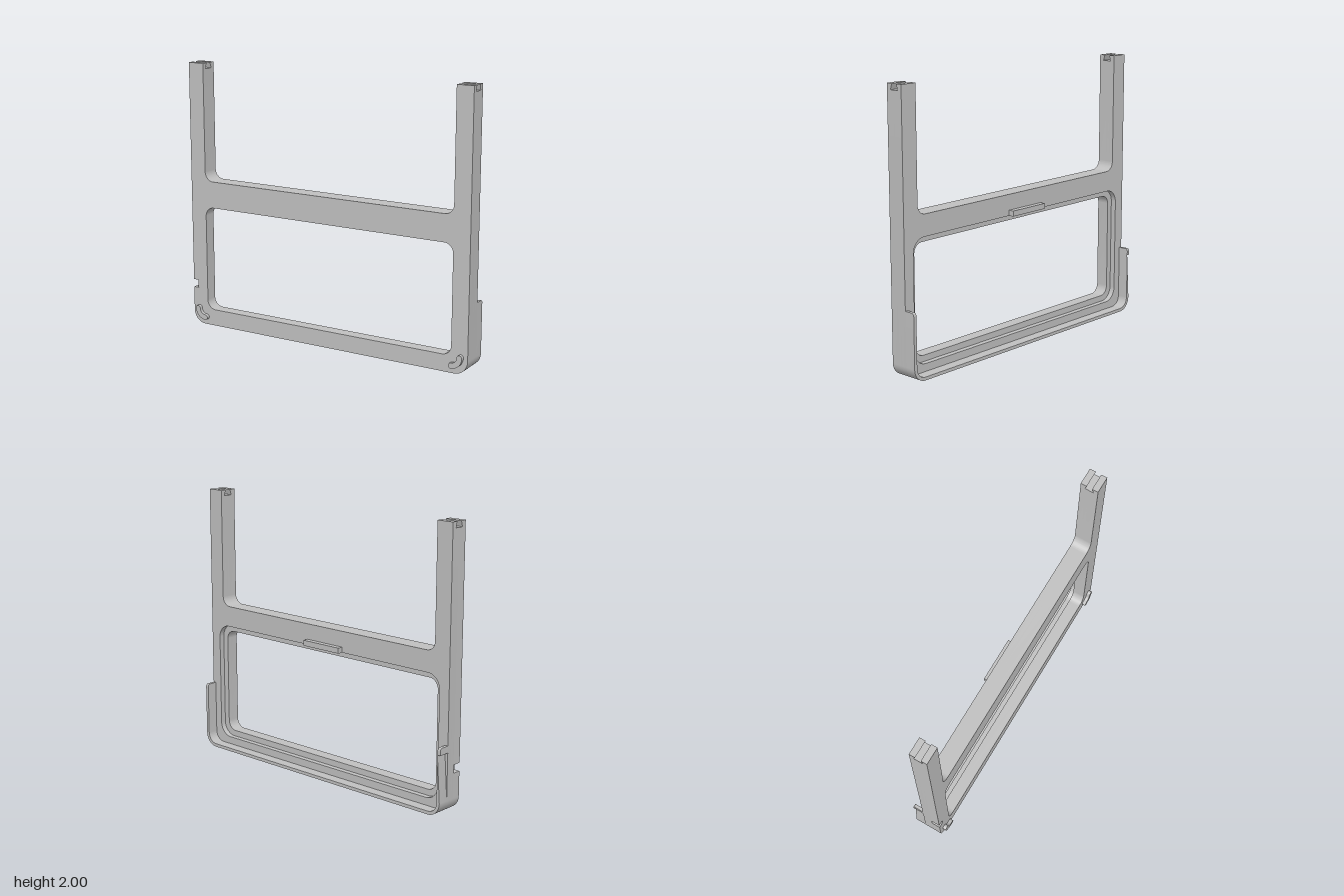
import * as THREE from 'three';
import { toCreasedNormals } from 'three/addons/utils/BufferGeometryUtils.js';

const OUT = 1.157, IN = 1.03;           // pillar outer and inner half spans
const FRONT = 0.107, BACK = -0.026, LIP = -0.106; // depth planes
const TOP = 1.958;                      // floor of the dovetail slots
const HALF_PI = Math.PI / 2;

const grey = new THREE.MeshStandardMaterial({ color: 0xbfbfbf });
grey.name = 'grey';

function addMesh(parent, name, geometry) {
  const mesh = new THREE.Mesh(toCreasedNormals(geometry, 0.6), grey);
  mesh.name = name;
  parent.add(mesh);
  return mesh;
}

// Extrude a face-on shape between two depths
function slab(shape, z0, z1) {
  return new THREE.ExtrudeGeometry(shape, { depth: z1 - z0, bevelEnabled: false, curveSegments: 10 })
    .translate(0, 0, z0);
}

// Extrude a side profile, drawn as (-depth, height), along the width
function alongWidth(shape, x0, x1) {
  return new THREE.ExtrudeGeometry(shape, { depth: x1 - x0, bevelEnabled: false, curveSegments: 6 })
    .rotateY(HALF_PI).translate(x0, 0, 0);
}

function roundedHole(x, y0, y1, r) {
  const p = new THREE.Path();
  p.moveTo(-x + r, y0);
  p.absarc(x - r, y0 + r, r, -HALF_PI, 0);
  p.absarc(x - r, y1 - r, r, 0, HALF_PI);
  p.absarc(-x + r, y1 - r, r, HALF_PI, Math.PI);
  p.absarc(-x + r, y0 + r, r, Math.PI, 3 * HALF_PI);
  return p;
}

// H-shaped frame outline with a window, optionally notched on one side
function frameShape(hole, notched) {
  const R = 0.1, r = 0.07, bar = 1.12;
  const s = new THREE.Shape();
  s.moveTo(-OUT + R, 0);
  s.absarc(OUT - R, R, R, -HALF_PI, 0);
  s.lineTo(OUT, TOP);
  s.lineTo(IN, TOP);
  s.absarc(IN - r, bar + r, r, 0, -HALF_PI, true);
  s.absarc(-IN + r, bar + r, r, -HALF_PI, -Math.PI, true);
  s.lineTo(-IN, TOP);
  s.lineTo(-OUT, TOP);
  if (notched) {
    s.lineTo(-OUT, 0.34);
    s.lineTo(-OUT + 0.042, 0.34);
    s.lineTo(-OUT + 0.042, 0.28);
    s.lineTo(-OUT, 0.28);
  }
  s.absarc(-OUT + R, R, R, Math.PI, 3 * HALF_PI);
  s.holes.push(hole);
  return s;
}

export function createModel() {
  const root = new THREE.Group();
  root.name = 'frameStand';
  const frame = new THREE.Group();
  frame.name = 'frame';
  frame.rotation.y = -Math.PI / 4;
  root.add(frame);

  // Main frame in layers: notched front, plain middle, rebated back
  const windowHole = () => roundedHole(IN, 0.125, 0.92, 0.07);
  const rebateHole = roundedHole(IN + 0.045, 0.08, 0.965, 0.1);
  addMesh(frame, 'frameFront', slab(frameShape(windowHole(), true), 0.04, FRONT));
  addMesh(frame, 'frameMiddle', slab(frameShape(windowHole(), false), 0.014, 0.04));
  addMesh(frame, 'frameRebate', slab(frameShape(rebateHole, false), BACK, 0.014));

  // Thin U-shaped lip behind the frame
  const t = 0.024, R = 0.1, split = 0.44, lipTop = 0.49;
  const u = new THREE.Shape();
  u.moveTo(-OUT, split);
  u.absarc(-OUT + R, R, R, Math.PI, 3 * HALF_PI);
  u.absarc(OUT - R, R, R, -HALF_PI, 0);
  u.lineTo(OUT, split);
  u.lineTo(OUT - t, split);
  u.absarc(OUT - R, R, R - t, 0, -HALF_PI, true);
  u.absarc(-OUT + R, R, R - t, -HALF_PI, -Math.PI, true);
  u.lineTo(-OUT + t, split);
  addMesh(frame, 'backLip', slab(u, LIP, BACK));

  // Lip ends with a rounded rear corner
  const end = new THREE.Shape();
  end.moveTo(-BACK, split);
  end.lineTo(-LIP, split);
  end.absarc(-LIP - 0.02, lipTop - 0.02, 0.02, 0, HALF_PI);
  end.lineTo(-BACK, lipTop);

  // Dovetail prongs on top of the pillars
  const mid = (FRONT + BACK) / 2;
  const prongs = [[FRONT, 1], [BACK, -1]].map(([edge, side]) => {
    const pts = [[edge, TOP], [mid + side * 0.034, TOP], [mid + side * 0.021, 2], [edge, 2]];
    return new THREE.Shape(pts.map(([w, y]) => new THREE.Vector2(-w, y)));
  });

  // Curved peg on the front of each lower corner
  const pegShape = (side) => {
    const cx = 1.04, cy = 0.125, r = 0.065, h = 0.02;
    const pts = [];
    const arc = (x, y, rad, a0, a1) => {
      for (let i = 0; i <= 10; i++) {
        const a = a0 + (a1 - a0) * i / 10;
        pts.push(new THREE.Vector2(side * (x + rad * Math.cos(a)), y + rad * Math.sin(a)));
      }
    };
    arc(cx, cy, r + h, -HALF_PI, 0);
    arc(cx + r, cy, h, 0, Math.PI);
    arc(cx, cy, r - h, 0, -HALF_PI);
    arc(cx, cy - r, h, HALF_PI, 3 * HALF_PI);
    return new THREE.Shape(pts.filter((p, i) => i === 0 || p.distanceTo(pts[i - 1]) > 1e-5));
  };

  for (const [side, label] of [[1, 'left'], [-1, 'right']]) {
    const span = (a, b) => (side > 0 ? [a, b] : [-b, -a]);
    addMesh(frame, label + 'LipEnd', alongWidth(end, ...span(OUT - t, OUT)));
    prongs.forEach((p, i) =>
      addMesh(frame, label + (i ? 'BackProng' : 'FrontProng'), alongWidth(p, ...span(IN, OUT))));
    addMesh(frame, label + 'CornerPeg', slab(pegShape(side), FRONT, 0.133));
  }

  // Small catch on the back of the crossbar
  addMesh(frame, 'catch', new THREE.BoxGeometry(0.34, 0.04, 0.041).translate(-0.028, 0.985, -0.0465));

  return root;
}
